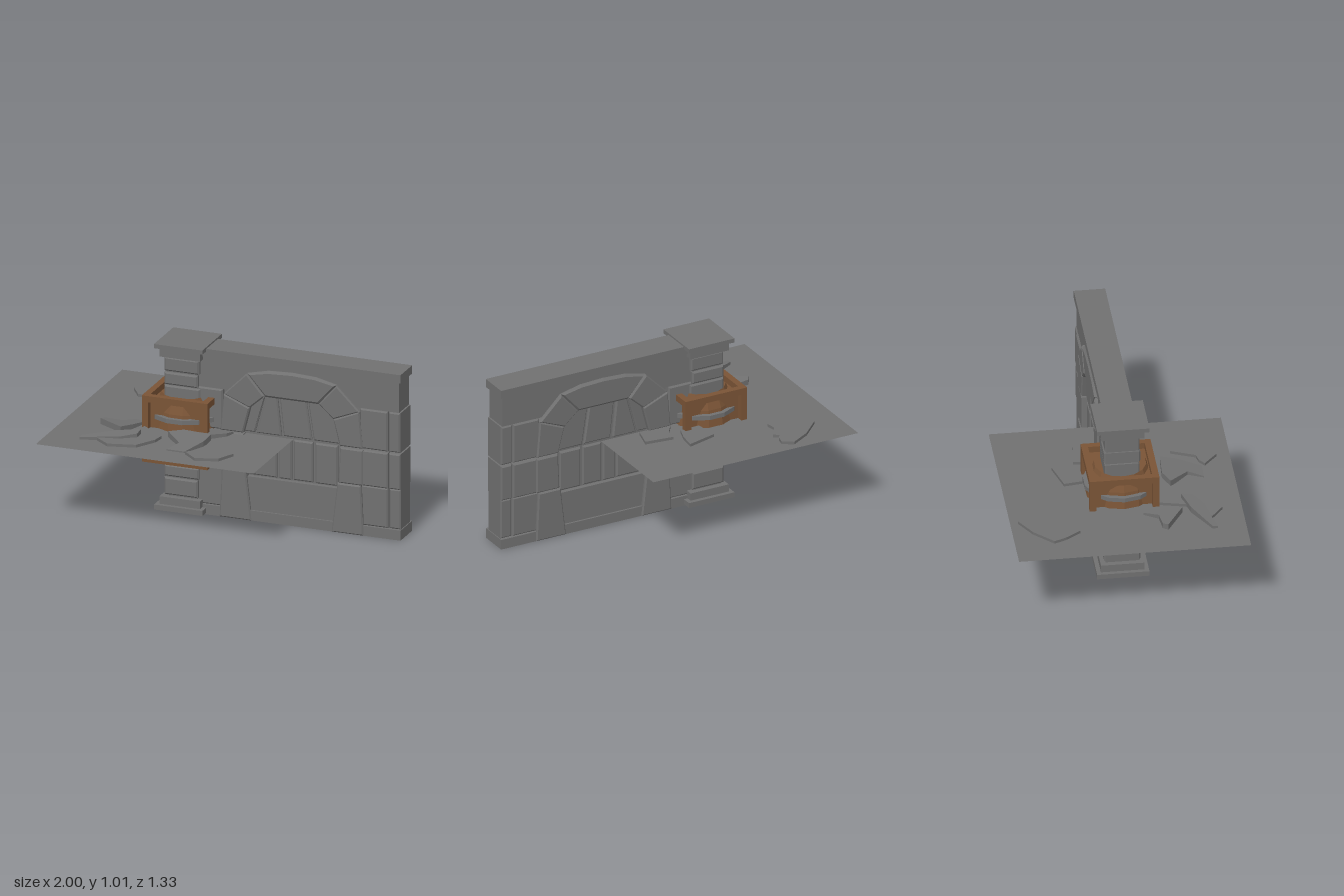
import * as THREE from 'three';

const stone = new THREE.MeshStandardMaterial({ color: 0x707070 });
stone.name = 'stone';
const ground = new THREE.MeshStandardMaterial({ color: 0x707070, side: THREE.DoubleSide });
ground.name = 'ground';
const wood = new THREE.MeshStandardMaterial({ color: 0x7a5436 });
wood.name = 'wood';

function add(parent, name, geo, mat) {
  const m = new THREE.Mesh(geo, mat);
  m.name = name;
  parent.add(m);
  return m;
}

// Box given by its extents
function block(parent, name, x0, x1, y0, y1, z0, z1, mat = stone) {
  const m = add(parent, name, new THREE.BoxGeometry(x1 - x0, y1 - y0, z1 - z0), mat);
  m.position.set((x0 + x1) / 2, (y0 + y1) / 2, (z0 + z1) / 2);
  return m;
}

// Bevelled polygon running through the wall, from -half to +half in z
function cutStone(parent, name, pts, half, bevel = 0.008) {
  const shape = new THREE.Shape(pts.map(p => new THREE.Vector2(p[0], p[1])));
  const geo = new THREE.ExtrudeGeometry(shape, {
    depth: 2 * (half - bevel), bevelEnabled: true, bevelSegments: 1,
    bevelSize: bevel, bevelThickness: bevel, bevelOffset: -bevel,
  });
  geo.translate(0, 0, -(half - bevel));
  return add(parent, name, geo, stone);
}

const rect = (x0, x1, y0, y1) => [[x0, y0], [x1, y0], [x1, y1], [x0, y1]];

function buildWall() {
  const wall = new THREE.Group();
  wall.name = 'wall';
  block(wall, 'wallCore', -0.25, 0.985, 0.03, 0.96, -0.05, 0.05);
  block(wall, 'wallPlinth', -0.33, 1, 0, 0.06, -0.09, 0.09);
  block(wall, 'wallTopBeam', -0.33, 1, 0.95, 1, -0.09, 0.09);
  block(wall, 'upperWall', -0.25, 0.985, 0.765, 0.95, -0.076, 0.076);
  block(wall, 'sillPanel', 0.03, 0.64, 0.06, 0.26, -0.078, 0.078);

  // Side courses left and right of the arch
  for (const [y0, y1, h] of [[0.06, 0.3, 0.08], [0.3, 0.515, 0.086], [0.525, 0.765, 0.088]]) {
    cutStone(wall, 'innerSideStone', rect(-0.25, -0.09, y0, y1), h);
    cutStone(wall, 'outerSideStone', rect(0.75, 0.92, y0, y1), h);
    cutStone(wall, 'endStone', rect(0.925, 0.995, y0, y1), h - 0.004);
  }

  // Jambs and voussoirs, mirrored about the middle of the arch
  const cx = 0.335;
  const half = [
    ['jambFoot', [[-0.105, 0], [0.09, 0], [0.055, 0.3], [-0.09, 0.3]], 0.098],
    ['jambStone', [[-0.1, 0.3], [0.05, 0.3], [0.04, 0.515], [-0.1, 0.515]], 0.094],
    ['archSpringer', [[-0.1, 0.525], [0.04, 0.525], [0.08, 0.68], [-0.08, 0.745]], 0.098],
    ['archStone', [[-0.08, 0.745], [0.08, 0.68], [0.17, 0.76], [0.06, 0.885]], 0.097],
  ];
  for (const [name, pts, h] of half) {
    cutStone(wall, name, pts, h);
    cutStone(wall, name, pts.map(([x, y]) => [2 * cx - x, y]), h);
  }
  cutStone(wall, 'keystone', [[0.06, 0.885], [0.17, 0.755], [0.5, 0.755], [0.61, 0.885],
    [0.48, 0.915], [0.335, 0.922], [0.19, 0.915]], 0.094, 0.014);

  // Masonry filling the arch
  const fill = [
    [[0.03, 0.525], [0.1, 0.525], [0.16, 0.75], [0.07, 0.69]],
    [[0.11, 0.525], [0.262, 0.525], [0.237, 0.76], [0.17, 0.76]],
    [[0.275, 0.525], [0.447, 0.525], [0.412, 0.76], [0.25, 0.76]],
    [[0.46, 0.525], [0.62, 0.525], [0.6, 0.68], [0.52, 0.76], [0.425, 0.76]],
    rect(0.06, 0.235, 0.268, 0.51), rect(0.248, 0.324, 0.268, 0.51),
    rect(0.336, 0.455, 0.268, 0.51), rect(0.47, 0.606, 0.268, 0.51),
  ];
  fill.forEach((pts, i) => cutStone(wall, 'fillStone', pts, 0.064 + 0.004 * (i % 2)));
  return wall;
}

function buildPillar() {
  const pillar = new THREE.Group();
  pillar.name = 'pillar';
  const slab = (name, w, d, y0, y1) => block(pillar, name, -w, w, y0, y1, -d, d);
  slab('pillarBase', 0.148, 0.15, 0.01, 0.04);
  slab('pillarBaseStep', 0.124, 0.125, 0.04, 0.085);
  slab('pillarCapStep', 0.124, 0.125, 0.93, 0.985);
  slab('pillarCap', 0.148, 0.15, 0.985, 1.01);
  slab('pillarCore', 0.093, 0.09, 0.08, 0.935);
  // Stacked shaft stones, each a little different in width
  const joints = [0.09, 0.2, 0.275, 0.4, 0.52, 0.65, 0.755, 0.835, 0.925];
  for (let i = 0; i < joints.length - 1; i++) {
    const w = 0.102 + 0.004 * (i % 3);
    const m = cutStone(pillar, 'shaftStone', rect(-w, w, joints[i] + 0.003, joints[i + 1] - 0.003), 0.1 + 0.004 * ((i + 1) % 2), 0.009);
    m.position.x = 0.003 * ((i % 3) - 1);
  }
  pillar.position.x = -0.335;
  return pillar;
}

function buildCrate() {
  const crate = new THREE.Group();
  crate.name = 'crate';
  const o = 0.2, t = 0.038, i = o - t;
  block(crate, 'crateBody', -i, i, -i, i, -i, i, wood);
  // Twelve frame beams
  for (const a of [-1, 1]) for (const b of [-1, 1]) {
    const beam = (name, sx, sy, sz, x, y, z) =>
      add(crate, name, new THREE.BoxGeometry(sx, sy, sz), wood).position.set(x, y, z);
    const c = o - t / 2;
    beam('cratePost', t, 2 * o, t, a * c, 0, b * c);
    beam('crateRailX', 2 * i, t, t, 0, a * c, b * c);
    beam('crateRailZ', t, t, 2 * i, a * c, b * c, 0);
  }

  // Barrel bulging through the crate sides
  const profile = [[0.15, -0.19], [0.185, -0.1], [0.2, 0], [0.185, 0.1], [0.15, 0.19]];
  const flat = (pts, n) => {
    const g = new THREE.LatheGeometry(pts.map(p => new THREE.Vector2(p[0], p[1])), n).toNonIndexed();
    g.computeVertexNormals();
    return g.rotateY(Math.PI / n);
  };
  add(crate, 'barrel', flat(profile, 14), wood);
  for (const s of [-1, 1]) {
    const hoop = add(crate, 'barrelHoop', flat([[0.18, -0.013], [0.214, -0.013], [0.214, 0.013], [0.18, 0.013]], 14), stone);
    hoop.position.y = s * 0.068;
  }
  crate.position.set(-0.337, 0.51, 0);
  return crate;
}

// Broken paving slab: outline in x,z and slopes along x and z
function paving(parent, pts, lift = 0, sx = 0, sz = 0) {
  const shape = new THREE.Shape(pts.map(p => new THREE.Vector2(p[0], -p[1])));
  const geo = new THREE.ExtrudeGeometry(shape, { depth: 0.036, bevelEnabled: false });
  geo.rotateX(-Math.PI / 2);
  const cx = pts.reduce((s, p) => s + p[0], 0) / pts.length;
  const cz = pts.reduce((s, p) => s + p[1], 0) / pts.length;
  const p = geo.attributes.position;
  for (let i = 0; i < p.count; i++) {
    p.setY(i, p.getY(i) + 0.491 + lift + sx * (p.getX(i) - cx) + sz * (p.getZ(i) - cz));
  }
  geo.computeVertexNormals();
  add(parent, 'brokenSlab', geo, stone);
}

function buildFloor() {
  const floor = new THREE.Group();
  floor.name = 'floor';
  const sheet = add(floor, 'groundSheet', new THREE.PlaneGeometry(1.33, 1.33).rotateX(-Math.PI / 2), ground);
  sheet.position.set(-0.335, 0.51, 0);

  paving(floor, [[-0.61, -0.62], [-0.55, -0.58], [-0.56, -0.53], [-0.58, -0.5], [-0.55, -0.48], [-0.6, -0.4],
    [-0.59, -0.34], [-0.66, -0.28], [-0.75, -0.28], [-0.81, -0.37], [-0.84, -0.44], [-0.73, -0.55]]);
  paving(floor, [[-0.26, -0.31], [-0.08, -0.36], [-0.09, -0.26], [-0.12, -0.17], [-0.24, -0.17]]);
  paving(floor, [[-0.04, -0.23], [0.13, -0.21], [0.1, -0.09], [-0.1, -0.09], [-0.05, -0.16]]);
  paving(floor, [[-0.61, 0.1], [-0.55, 0.12], [-0.58, 0.22], [-0.62, 0.32], [-0.78, 0.22], [-0.76, 0.19], [-0.66, 0.18]], 0.01, -0.05, 0.12);
  paving(floor, [[-0.8, 0.5], [-0.8, 0.47], [-0.62, 0.37], [-0.49, 0.33], [-0.49, 0.39], [-0.58, 0.45], [-0.68, 0.47]], 0.012, 0.04, -0.12);
  paving(floor, [[-0.52, 0.2], [-0.37, 0.32], [-0.38, 0.39], [-0.45, 0.51], [-0.61, 0.55], [-0.7, 0.48], [-0.57, 0.4]]);
  paving(floor, [[-0.34, 0.29], [-0.26, 0.25], [-0.09, 0.26], [-0.1, 0.35], [-0.16, 0.49], [-0.27, 0.49], [-0.23, 0.4]], 0.012, 0, -0.16);
  paving(floor, [[0, 0.33], [0.12, 0.44], [0.07, 0.55], [-0.06, 0.59], [-0.15, 0.51], [-0.11, 0.48], [-0.06, 0.47]]);
  paving(floor, [[-0.16, 0.08], [-0.02, 0.09], [-0.04, 0.15], [-0.11, 0.22], [-0.18, 0.2]], 0.002, 0, 0.1);
  return floor;
}

export function createModel() {
  const model = new THREE.Group();
  model.name = 'ruinedWallScene';
  model.add(buildWall(), buildPillar(), buildCrate(), buildFloor());
  return model;
}
